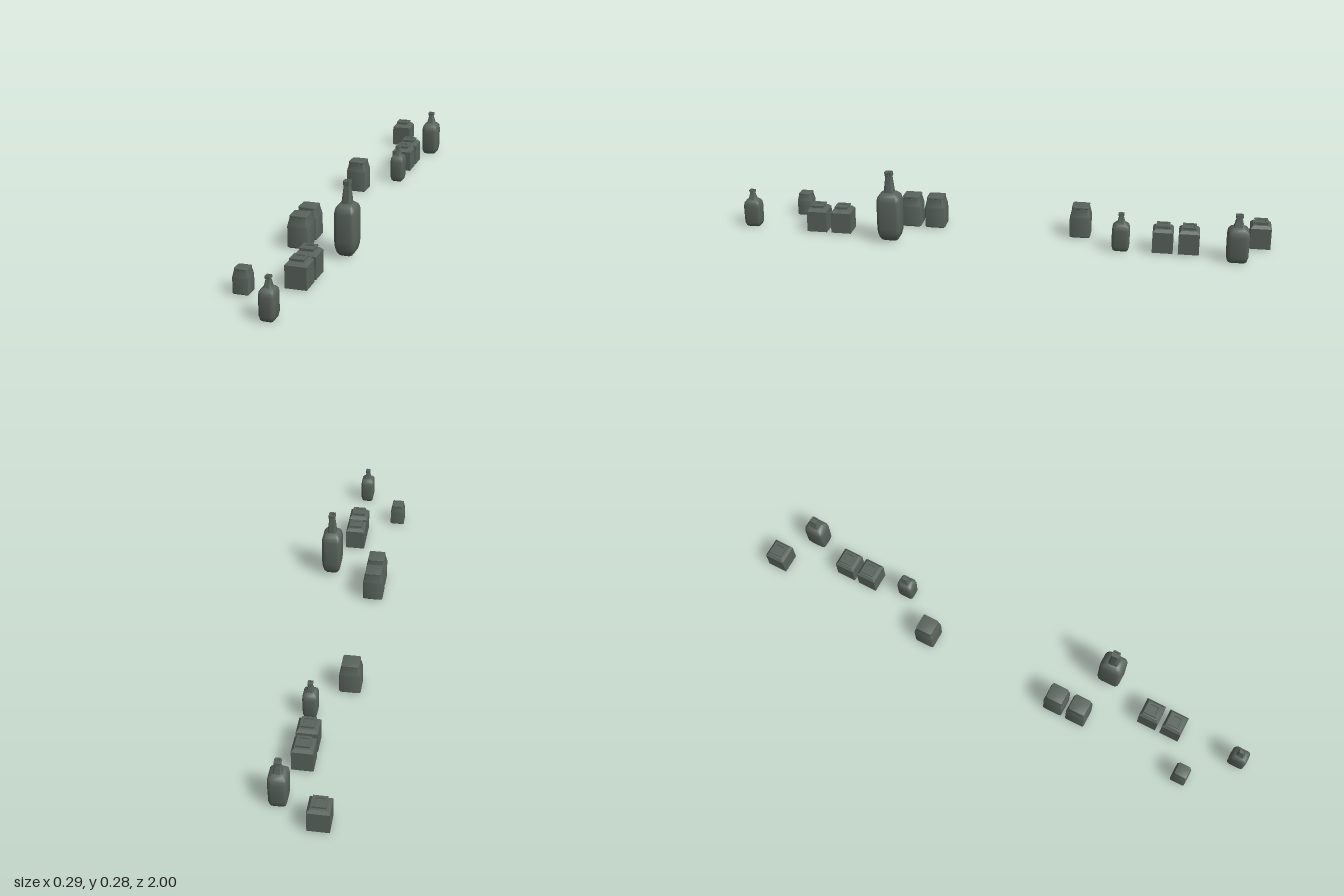
import * as THREE from 'three';
import { toCreasedNormals } from 'three/addons/utils/BufferGeometryUtils.js';

const glass = new THREE.MeshStandardMaterial({ color: 0x59635d });
glass.name = 'dark grey green glass';

// Rounded rectangle ring: half width, half depth, corner radius, steps per corner
function ring(y, hw, hd, r, steps) {
  const pts = [];
  for (let q = 0; q < 4; q++) {
    const sx = q === 0 || q === 3 ? 1 : -1;
    const sz = q < 2 ? 1 : -1;
    for (let s = 0; s <= steps; s++) {
      const a = (q + (steps ? s / steps : 0.5)) * Math.PI / 2;
      const k = steps ? r : 0;
      pts.push([sx * (hw - k) + k * Math.cos(a), y, sz * (hd - k) + k * Math.sin(a)]);
    }
  }
  return pts;
}

// Loft a stack of [y, halfWidth, halfDepth] rings and cap both ends
function loft(profile, round, steps, crease) {
  const rings = profile.map(([y, w, d]) => ring(y, w, d, Math.min(w, d) * round, steps));
  const n = rings[0].length;
  const pos = rings.flat(2);
  const idx = [];
  for (let i = 0; i < rings.length - 1; i++) {
    for (let j = 0; j < n; j++) {
      const a = i * n + j, b = i * n + (j + 1) % n;
      idx.push(a, a + n, b, b, a + n, b + n);
    }
  }
  const bottom = pos.length / 3, top = bottom + 1, last = (rings.length - 1) * n;
  pos.push(0, profile[0][0], 0, 0, profile[profile.length - 1][0], 0);
  for (let j = 0; j < n; j++) {
    const k = (j + 1) % n;
    idx.push(bottom, j, k, top, last + k, last + j);
  }
  const g = new THREE.BufferGeometry();
  g.setAttribute('position', new THREE.Float32BufferAttribute(pos, 3));
  g.setIndex(idx);
  return toCreasedNormals(g, crease);
}

export function createModel() {
  const group = new THREE.Group();

  // Square jar: boxy body, sloped shoulder, short neck with an open lip
  const square = loft([
    [0, 0.038, 0.038], [0.08, 0.038, 0.038], [0.09, 0.029, 0.029],
    [0.091, 0.022, 0.022], [0.094, 0.022, 0.022], [0.095, 0.025, 0.025],
    [0.101, 0.025, 0.025], [0.101, 0.016, 0.016], [0.096, 0.015, 0.015],
  ], 0, 0, 0.5);

  // Tapered jar: tall shoulder narrowing to a wide flat lid
  const tapered = loft([
    [0, 0.035, 0.035], [0.004, 0.039, 0.039], [0.078, 0.039, 0.039],
    [0.086, 0.0375, 0.0375], [0.113, 0.031, 0.031], [0.114, 0.032, 0.032],
    [0.119, 0.032, 0.032], [0.12, 0.03, 0.03],
  ], 0.18, 2, 0.6);

  // Small bottle: rounded rectangular body, sloped neck, lip
  const small = loft([
    [0, 0.018, 0.024], [0.004, 0.022, 0.028], [0.018, 0.0255, 0.032],
    [0.082, 0.0265, 0.0325], [0.096, 0.025, 0.03], [0.104, 0.02, 0.023],
    [0.108, 0.013, 0.015], [0.125, 0.009, 0.0105], [0.135, 0.007, 0.008],
    [0.136, 0.0095, 0.011], [0.144, 0.0095, 0.011], [0.144, 0.006, 0.007],
    [0.138, 0.005, 0.006],
  ], 0.4, 3, 0.7);

  // Large bottle: tall body with a deeply rounded base
  const large = loft([
    [0.008, 0.016, 0.022], [0.012, 0.023, 0.03], [0.024, 0.031, 0.038],
    [0.042, 0.036, 0.043], [0.062, 0.038, 0.045], [0.165, 0.038, 0.045],
    [0.18, 0.035, 0.041], [0.189, 0.03, 0.034], [0.194, 0.024, 0.027],
    [0.197, 0.0175, 0.019], [0.225, 0.0145, 0.016], [0.26, 0.0105, 0.012],
    [0.262, 0.013, 0.015], [0.275, 0.013, 0.015], [0.275, 0.008, 0.009],
    [0.267, 0.007, 0.008],
  ], 0.4, 3, 0.7);

  // name, geometry, x, base height, z, scale
  const items = [
    ['squareJar', square, -0.058, 0.004, -0.962, 1],
    ['squareJar', square, 0.037, 0.004, -0.702, 1],
    ['squareJar', square, 0.037, 0.004, -0.607, 1],
    ['squareJar', square, 0.037, 0.004, 0.609, 1],
    ['squareJar', square, 0.037, 0.004, 0.703, 1],
    ['taperedJar', tapered, -0.066, 0.002, -0.293, 1],
    ['taperedJar', tapered, -0.079, 0.002, 0.268, 1],
    ['taperedJar', tapered, -0.079, 0.002, 0.362, 1],
    ['smallTaperedJar', tapered, -0.118, 0.003, 0.804, 0.73],
    ['mediumBottle', small, 0.09, 0, -0.876, 1.24],
    ['smallBottle', small, 0.055, 0.001, -0.453, 1],
    ['smallBottle', small, 0.033, 0.001, 0.967, 1],
    ['largeBottle', large, 0.107, 0, 0.405, 1],
  ];
  for (const [name, geometry, x, y, z, s] of items) {
    const mesh = new THREE.Mesh(geometry, glass);
    mesh.name = name;
    mesh.position.set(x, y, z);
    mesh.scale.setScalar(s);
    group.add(mesh);
  }
  return group;
}
